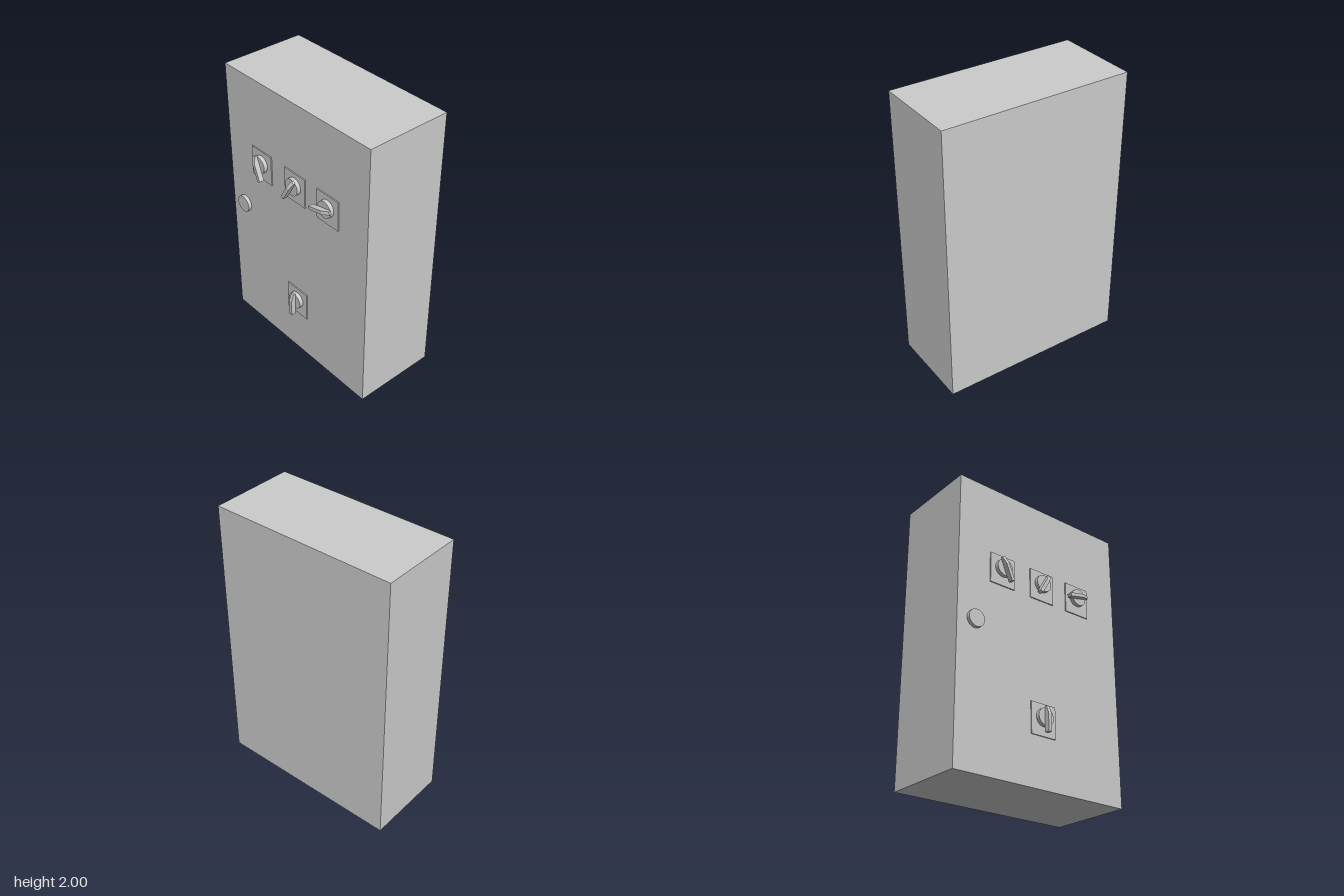
import * as THREE from 'three';

const material = new THREE.MeshStandardMaterial({ color: 0xcccccc });
const FACE = -0.27; // x of the door face that carries the controls

function add(parent, name, geometry, x, y, z) {
  const mesh = new THREE.Mesh(geometry, material);
  mesh.name = name;
  mesh.position.set(x, y, z);
  parent.add(mesh);
  return mesh;
}

// Round disc whose axis runs along x
function disc(radius, depth) {
  return new THREE.CylinderGeometry(radius, radius, depth, 32).rotateZ(Math.PI / 2);
}

// Lever: side profile with one chamfered end, extruded across its width
function leverGeometry() {
  const width = 0.025;
  const profile = new THREE.Shape([
    [0, -0.105], [0, 0.068], [-0.015, 0.068], [-0.035, 0.015], [-0.035, -0.105],
  ].map(([x, y]) => new THREE.Vector2(x, y)));
  return new THREE.ExtrudeGeometry(profile, { depth: width, bevelEnabled: false })
    .translate(0, 0, -width / 2);
}

// Rotary switch: backing plate, round base and turned lever
function rotarySwitch(y, z, degrees) {
  const group = new THREE.Group();
  group.name = 'rotarySwitch';
  group.position.set(FACE, y, z);
  add(group, 'switchPlate', new THREE.BoxGeometry(0.008, 0.216, 0.196), -0.004, -0.015, 0);
  add(group, 'switchBase', disc(0.06, 0.027), -0.0215, 0, 0);
  const lever = add(group, 'switchLever', leverGeometry(), -0.035, 0, 0);
  lever.rotation.x = THREE.MathUtils.degToRad(degrees);
  return group;
}

export function createModel() {
  const model = new THREE.Group();
  model.name = 'controlCabinet';

  // Cabinet body
  add(model, 'cabinet', new THREE.BoxGeometry(0.605, 2, 1.34), FACE + 0.3025, 1, 0);

  // Row of three switches and a single one below
  [
    [1.413, -0.324, -22],
    [1.413, 0.007, 30],
    [1.413, 0.318, 77],
    [0.464, 0.007, 0],
  ].forEach(([y, z, angle]) => model.add(rotarySwitch(y, z, angle)));

  // Door lock
  add(model, 'doorLock', disc(0.06, 0.025), FACE - 0.0125, 0.985, -0.535);

  return model;
}
